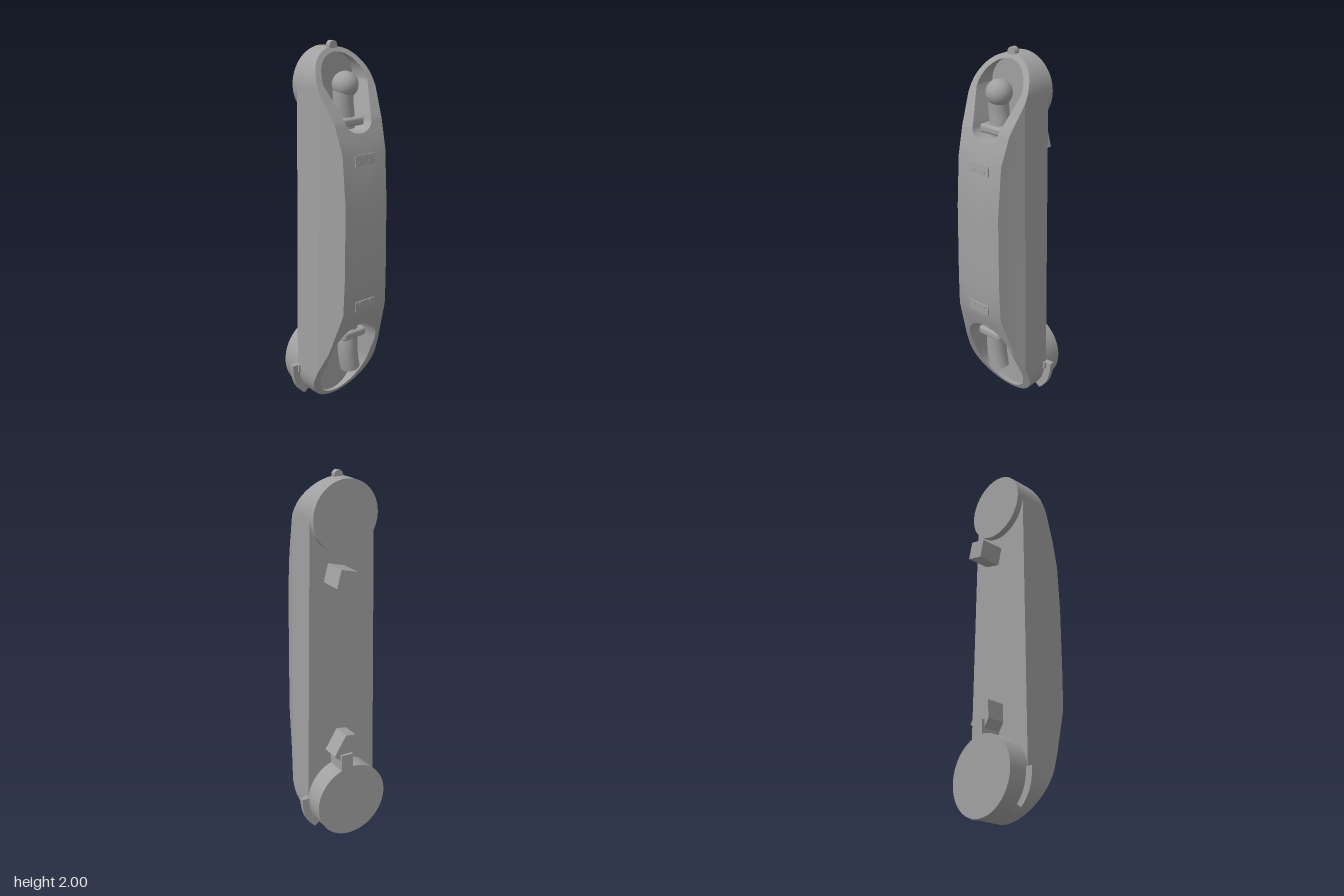
import * as THREE from 'three';
import { toCreasedNormals } from 'three/addons/utils/BufferGeometryUtils.js';
import { RoundedBoxGeometry } from 'three/addons/geometries/RoundedBoxGeometry.js';

const grey = new THREE.MeshStandardMaterial({ color: 0xa0a0a0 });
grey.name = 'plain grey';

const BACK = -0.1, FLOOR = -0.055;

// Piecewise linear interpolation through [position, value] pairs
function lerpTable(table, t) {
  if (t <= table[0][0]) return table[0][1];
  for (let i = 1; i < table.length; i++) {
    const [a, va] = table[i - 1], [b, vb] = table[i];
    if (t <= b) return va + (vb - va) * (t - a) / (b - a);
  }
  return table[table.length - 1][1];
}
const arc = (d, r) => Math.sqrt(Math.max(0, 1 - (d / r) ** 2));

// Housing rules: front depth, half width and opening half width at a height
const frontZ = (y) => lerpTable([[0, -0.04], [0.36, 0.135], [0.55, 0.2], [0.615, 0.22],
  [0.8, 0.226], [1.2, 0.226], [1.47, 0.206], [1.62, 0.16], [1.85, 0.035], [1.97, -0.04]], y);
const narrowing = (z) => lerpTable([[0.08, 1], [0.15, 0.85], [0.226, 0.72]], z);
function halfWidth(y) {
  if (y < 0.21) return 0.21 * arc(0.21 - y, 0.21);
  if (y > 1.785) return 0.185 * arc(y - 1.785, 0.185);
  return lerpTable([[0.21, 0.21], [1.785, 0.185]], y);
}
function opening(y) {
  if (y <= 0.02 || y >= 1.945 || (y >= 0.512 && y <= 1.56)) return 0;
  if (y < 0.22) return 0.163 * arc(0.22 - y, 0.2);
  if (y < 0.35) return lerpTable([[0.22, 0.163], [0.35, 0.155]], y);
  if (y < 0.512) return 0.155 * arc(y - 0.35, 0.162);
  if (y < 1.62) return 0.085 * arc(1.62 - y, 0.06);
  if (y < 1.8) return lerpTable([[1.62, 0.085], [1.8, 0.145]], y);
  return 0.145 * arc(y - 1.8, 0.145);
}

// Lofts the housing in rows, with a sunken cavity wherever there is an opening
function housingGeometry() {
  const rows = [0, 0.001, 0.004, 0.009, 0.014];
  const eased = (a, b, n) => {
    for (let i = 0; i <= n; i++) rows.push(a + (b - a) * (1 - Math.cos(Math.PI * i / n)) / 2);
  };
  eased(0.02, 0.512, 36);
  rows.push(0.55, 0.615, 0.8, 1, 1.2, 1.47);
  eased(1.56, 1.945, 36);
  rows.push(1.952, 1.96, 1.966, 1.969, 1.97);

  const section = (y) => {
    const z = frontZ(y), w = halfWidth(y), h = opening(y);
    const at = (d) => [w * narrowing(d), y, d];
    return [[0, y, FLOOR], [h, y, FLOOR], [h, y, z], at(z), at(Math.min(0.15, z)),
      at(Math.min(0.08, z)), [w, y, BACK], [0, y, BACK]];
  };
  const pos = [];
  for (let i = 0; i < rows.length - 1; i++) {
    const lo = section(rows[i]), hi = section(rows[i + 1]);
    const open = opening(rows[i]) + opening(rows[i + 1]) > 0;
    for (let j = open ? 0 : 2; j < lo.length - 1; j++) {
      const quad = [lo[j], lo[j + 1], hi[j + 1], lo[j], hi[j + 1], hi[j]];
      for (const p of quad) pos.push(...p);
      for (const k of [0, 2, 1, 3, 5, 4]) pos.push(-quad[k][0], quad[k][1], quad[k][2]);
    }
  }
  const g = new THREE.BufferGeometry();
  g.setAttribute('position', new THREE.Float32BufferAttribute(pos, 3));
  return toCreasedNormals(g, 0.3);
}

export function createModel() {
  const model = new THREE.Group();
  const add = (name, geometry, x = 0, y = 0, z = 0) => {
    const m = new THREE.Mesh(geometry, grey);
    m.name = name;
    m.position.set(x, y, z);
    model.add(m);
    return m;
  };
  // Disc along z between two depths
  const disc = (name, r, x, y, z0, z1, n = 48) =>
    add(name, new THREE.CylinderGeometry(r, r, z1 - z0, n).rotateX(Math.PI / 2), x, y, (z0 + z1) / 2);
  // Outline in x and y, extruded between two depths
  const slab = (name, shape, z0, z1) => add(name, toCreasedNormals(
    new THREE.ExtrudeGeometry(shape, { depth: z1 - z0, bevelEnabled: false, curveSegments: 16 }), 0.5), 0, 0, z0);

  add('housing', housingGeometry());

  // Joint discs on the back and the pin on top
  disc('upperJointDisc', 0.185, 0, 1.785, -0.137, BACK);
  disc('lowerJointDisc', 0.21, 0, 0.21, -0.215, BACK, 64);
  disc('topPin', 0.025, 0, 1.975, -0.065, -0.035, 20);

  // Tilted block on the back
  add('backBlock', new THREE.BoxGeometry(0.098, 0.098, 0.132), 0.0475, 1.49, -0.166).rotation.z = 0.257;

  // Pointed latch above the lower disc
  slab('latchHead', new THREE.Shape([[-0.035, 0.5], [0.02, 0.42], [0.1, 0.5], [0.03, 0.61], [-0.03, 0.6]]
    .map(([x, y]) => new THREE.Vector2(x, y))), -0.2, BACK);
  add('latchNeck', new THREE.BoxGeometry(0.07, 0.12, 0.115), 0.03, 0.44, -0.1575);

  // Curved ears beside the lower disc
  for (const s of [1, -1]) {
    const ear = new THREE.Shape();
    ear.moveTo(s * 0.19, 0.23);
    ear.lineTo(s * 0.253, 0.23);
    ear.quadraticCurveTo(s * 0.253, 0.1, s * 0.175, 0.04);
    ear.lineTo(s * 0.14, 0.065);
    ear.quadraticCurveTo(s * 0.2, 0.12, s * 0.19, 0.23);
    slab(s > 0 ? 'leftEar' : 'rightEar', ear, -0.113, -0.086);
    add(s > 0 ? 'leftEarLip' : 'rightEarLip', new THREE.BoxGeometry(0.015, 0.04, 0.014), s * 0.213, 0.21, -0.081);
  }

  // Pipes with end caps and collars inside the cavities
  const pipe = (name, points, r) => {
    const curve = new THREE.CatmullRomCurve3(points.map((p) => new THREE.Vector3(...p)));
    add(name, new THREE.TubeGeometry(curve, 24, r, 28));
    for (const [t, s] of [[0, -1], [1, 1]]) {
      const c = add(name + 'End', new THREE.CircleGeometry(r, 28), ...curve.getPoint(t).toArray());
      c.quaternion.setFromUnitVectors(new THREE.Vector3(0, 0, 1), curve.getTangent(t).multiplyScalar(s));
    }
  };
  pipe('upperPipe', [[0, 1.57, 0.05], [0, 1.63, 0.05], [-0.008, 1.7, 0.05], [-0.01, 1.79, 0.055]], 0.053);
  add('ball', new THREE.SphereGeometry(0.068, 40, 28), 0, 1.79, 0.056);
  add('upperCollar', new RoundedBoxGeometry(0.154, 0.045, 0.14, 3, 0.015), 0, 1.607, 0.052);
  pipe('lowerPipe', [[0, 0.54, 0.083], [0, 0.4, 0.083], [0, 0.33, 0.083], [0.008, 0.26, 0.083], [0.018, 0.212, 0.083]], 0.055);
  add('lowerCollar', new RoundedBoxGeometry(0.156, 0.048, 0.14, 3, 0.015), 0, 0.437, 0.08);

  // Thin screw plates on the front
  for (const [name, y, screwY, tilt] of [['upperPlate', 1.43, 1.42, -0.074], ['lowerPlate', 0.642, 0.655, 0.03]]) {
    const z = frontZ(y);
    add(name, new THREE.BoxGeometry(0.132, 0.055, 0.009), 0, y, z + 0.002).rotation.x = tilt;
    for (const x of [-0.035, 0.035]) disc(name + 'Screw', 0.011, x, screwY, z, z + 0.01, 16);
  }
  return model;
}
